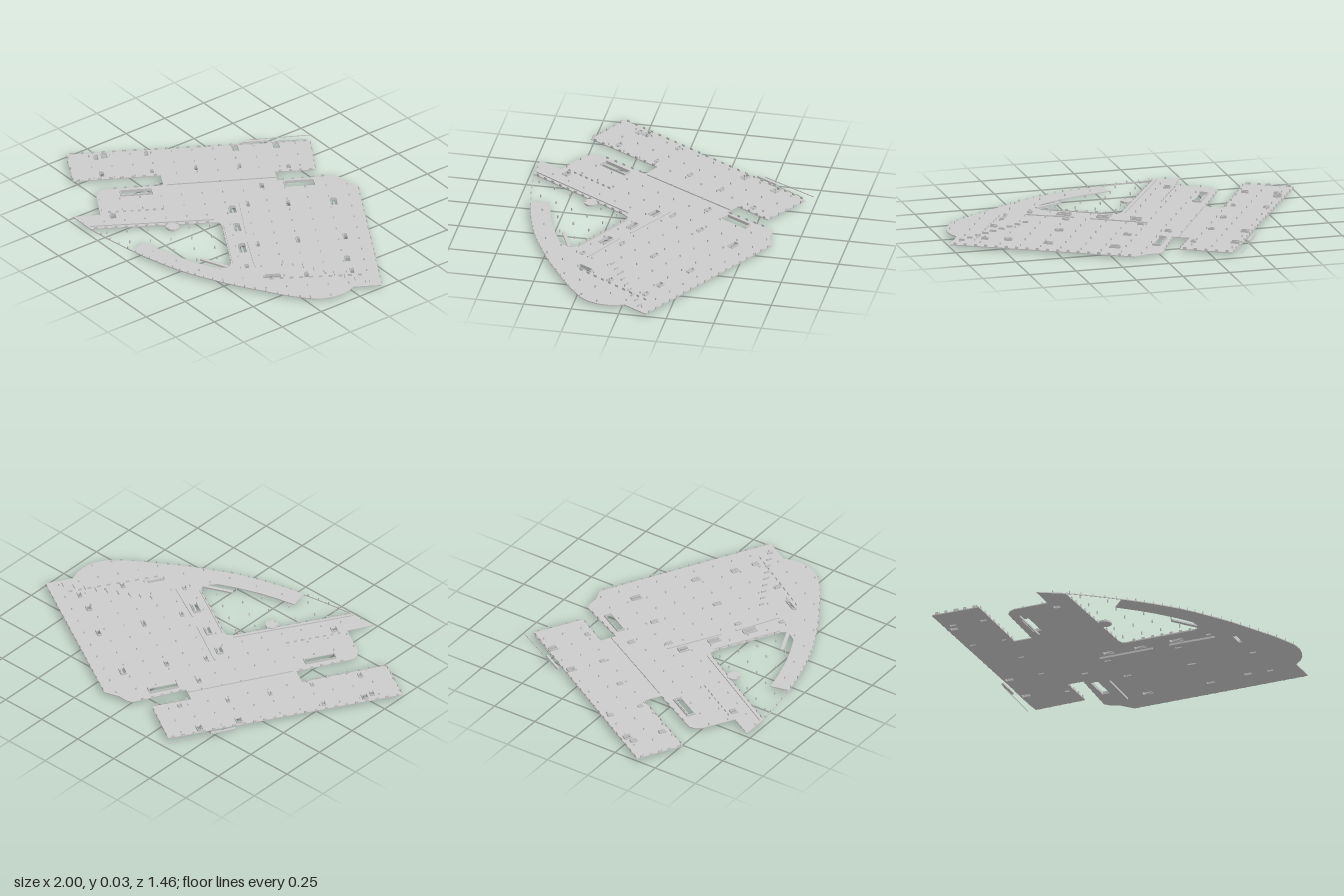
import * as THREE from 'three';

const material = new THREE.MeshStandardMaterial({ color: 0xcccccc, flatShading: true, side: THREE.DoubleSide });
const BASE = 0.011, TOP = 0.016, HIGH = 0.027;
const C = Math.cos(Math.PI / 6), S = 0.5; // building grid is turned 30 degrees

// Plate outline as [x, z], split at the curved facade
const ARC = [[0.898, 0.217], [0.79, 0.305], [0.663, 0.388], [0.54, 0.465], [0.406, 0.535], [0.3, 0.585], [0.19, 0.623], [0.07, 0.657], [-0.048, 0.682]];
const COURT = [[-0.07, 0.585], [0.04, 0.56], [0.14, 0.532], [0.25, 0.49], [0.342, 0.447], [0.368, 0.415], [0.383, 0.38], [0.363, 0.35],
  [0.043, 0.168], [0.01, 0.158], [-0.016, 0.184], [-0.342, 0.725]];
const OUTLINE = [
  [-0.353, -0.698], [-0.112, -0.553], [-0.22, -0.372], [-0.144, -0.329], [-0.025, -0.565], [-0.01, -0.593], [0.02, -0.605], [0.075, -0.602], [0.15, -0.628],
  [1, -0.142], [0.925, -0.013], [0.942, 0.035], [0.947, 0.083], [0.942, 0.125], [0.925, 0.175], ...ARC, ...COURT,
  [-0.492, 0.725], [-0.422, 0.602], [-0.583, 0.508], [-0.606, 0.475], [-0.61, 0.447], [-0.594, 0.414], [-0.46, 0.168], [-0.545, 0.12], [-0.77, 0.516], [-1, 0.388]];

// Stairwells: centre x, z, size along the grid's long and cross directions
const WELLS = [
  [-0.42, -0.53, 0.045, 0.03], [-0.525, -0.345, 0.045, 0.03], [0.2, -0.435, 0.055, 0.03], [-0.05, 0.03, 0.055, 0.035],
  [0.105, 0.115, 0.065, 0.03], [0.283, 0.217, 0.075, 0.035], [0.595, 0.26, 0.02, 0.085], [0.44, 0.307, 0.025, 0.018],
  [0.51, -0.275, 0.045, 0.02], [0.69, -0.152, 0.04, 0.025], [0.8, -0.1, 0.035, 0.018], [-0.87, 0.24, 0.04, 0.03],
  [-0.88, 0.285, 0.035, 0.02], [-0.37, 0.56, 0.035, 0.03], [0.39, -0.06, 0.045, 0.018], [0.69, 0.11, 0.035, 0.02],
  [0.075, -0.235, 0.04, 0.018], [-0.145, -0.23, 0.035, 0.02], [-0.73, 0.36, 0.035, 0.02], [-0.05, -0.4, 0.042, 0.155], [-0.48, 0.327, 0.045, 0.165],
  [-0.755, 0.055, 0.03, 0.015], [-0.6, 0.135, 0.025, 0.015], [-0.37, -0.255, 0.03, 0.015], [-0.49, -0.065, 0.03, 0.015],
  [0.3, 0.13, 0.035, 0.015], [-0.215, -0.455, 0.025, 0.02], [-0.045, -0.065, 0.035, 0.015]];

const onGrid = (cx, cz, u, v) => [cx + u * C - v * S, cz + u * S + v * C];
const corners = ([x, z, w, d]) => [[-1, -1], [1, -1], [1, 1], [-1, 1]].map(([a, b]) => onGrid(x, z, a * w / 2, b * d / 2));
const toVec = pts => pts.map(([x, z]) => new THREE.Vector2(x, -z));

function slab(name, pts, holes = [], y0 = BASE, y1 = TOP) {
  const shape = new THREE.Shape(toVec(pts));
  shape.holes = holes.map(h => new THREE.Path(toVec(h)));
  const geo = new THREE.ExtrudeGeometry(shape, { depth: y1 - y0, bevelEnabled: false });
  geo.rotateX(-Math.PI / 2).translate(0, y0, 0);
  const mesh = new THREE.Mesh(geo, material);
  mesh.name = name;
  return mesh;
}

function wall(name, [x0, z0], [x1, z1], width = 0.004, y0 = BASE, y1 = HIGH) {
  const mesh = new THREE.Mesh(new THREE.BoxGeometry(Math.hypot(x1 - x0, z1 - z0), y1 - y0, width), material);
  mesh.position.set((x0 + x1) / 2, (y0 + y1) / 2, (z0 + z1) / 2);
  mesh.rotation.y = -Math.atan2(z1 - z0, x1 - x0);
  mesh.name = name;
  return mesh;
}

function inside(x, z, poly) {
  let hit = false;
  poly.forEach(([ax, az], i) => {
    const [bx, bz] = poly[(i + 1) % poly.length];
    if ((az > z) !== (bz > z) && x < (bx - ax) * (z - az) / (bz - az) + ax) hit = !hit;
  });
  return hit;
}

// Row of short wall pieces from a to b
function dashes(group, name, a, b, step, fill, width) {
  const n = Math.max(1, Math.round(Math.hypot(b[0] - a[0], b[1] - a[1]) / step));
  const at = t => [a[0] + (b[0] - a[0]) * t, a[1] + (b[1] - a[1]) * t];
  for (let i = 0; i < n; i++) group.add(wall(name, at((i + 0.5 - fill / 2) / n), at((i + 0.5 + fill / 2) / n), width));
}

export function createModel() {
  const model = new THREE.Group();
  model.name = 'buildingFloor';
  const part = name => {
    const g = new THREE.Group();
    g.name = name;
    model.add(g);
    return g;
  };

  model.add(slab('floorPlate', OUTLINE, WELLS.map(corners)));

  // Columns on the turned grid, also standing in the open courtyard
  const columns = part('columns');
  const court = [...COURT, [-0.2, 0.708], [-0.048, 0.682]];
  const columnGeo = new THREE.BoxGeometry(0.006, HIGH - BASE, 0.006);
  for (let i = -10; i <= 10; i++) for (let j = -10; j <= 10; j++) {
    const [x, z] = onGrid(0.02, -0.02, i * 0.107, j * 0.107);
    if (!inside(x, z, OUTLINE) && !inside(x, z, court)) continue;
    const column = new THREE.Mesh(columnGeo, material);
    column.position.set(x, (BASE + HIGH) / 2, z);
    column.rotation.y = -Math.PI / 6;
    column.name = 'column';
    columns.add(column);
  }

  // Stair cores: side walls and a flight sloping down through each well
  const cores = part('stairCores');
  WELLS.forEach(well => {
    const [a, b, c, d] = corners(well);
    cores.add(wall('coreWall', a, b, 0.003), wall('coreWall', c, d, 0.003), wall('coreWall', d, a, 0.003));
    if (well[3] > 0.1 || well[2] < 0.05) return;
    const flight = new THREE.Mesh(new THREE.BoxGeometry(well[2], 0.002, 0.008), material);
    flight.position.set(well[0], 0.008, well[1]);
    flight.rotation.set(0, -Math.PI / 6, 0.012 / well[2]);
    flight.name = 'stairFlight';
    cores.add(flight);
  });

  // Facade pieces along the plate edges
  const facade = part('facade');
  OUTLINE.forEach((p, i) => {
    const q = OUTLINE[(i + 1) % OUTLINE.length];
    if (Math.hypot(q[0] - p[0], q[1] - p[1]) > 0.2) dashes(facade, 'facadePiece', p, q, 0.054, 0.3, 0.004);
  });
  // Short cross walls near the east end
  for (let k = 0; k < 9; k++) {
    const p = onGrid(0.96, -0.13, -k * 0.03, 0.05 + k * 0.05);
    if (inside(p[0], p[1], OUTLINE)) facade.add(wall('crossWall', p, onGrid(...p, -0.03, 0)));
  }

  // Inner partitions
  const partitions = part('partitions');
  [[[-0.09, -0.045], [0.175, 0.11], 0.008], [[0.245, 0.155], [0.47, 0.275], 0.008], [[-0.45, 0.155], [-0.17, -0.34], 0.003],
    [[-0.03, 0.165], [-0.36, 0.715], 0.003], [[0.04, 0.155], [0.37, 0.345], 0.003]]
    .forEach(([a, b, w]) => partitions.add(wall('partition', a, b, w, BASE, 0.022)));
  dashes(partitions, 'partition', [-0.26, 0.3], [-0.42, 0.57], 0.04, 0.4, 0.003);
  dashes(partitions, 'partition', [0.87, -0.13], [0.6, 0.3], 0.05, 0.4, 0.003);

  // Thin curved rail that closes the courtyard
  const rail = part('curvedRail');
  const edge = new THREE.SplineCurve([...ARC, [-0.2, 0.708], [-0.342, 0.725]].map(p => new THREE.Vector2(...p))).getPoints(50);
  for (let i = 0; i < 50; i++) {
    rail.add(wall('railSegment', edge[i].toArray(), edge[i + 1].toArray(), 0.003, BASE, TOP));
    if (i % 2) rail.add(wall('railPost', edge[i].toArray(), [edge[i].x + 0.005, edge[i].y], 0.004));
  }

  // Round pod with its link, and the narrow bridge in the courtyard
  const pod = new THREE.Mesh(new THREE.CylinderGeometry(0.034, 0.034, 0.01, 24), material);
  pod.position.set(-0.102, 0.016, 0.377);
  pod.name = 'roundPod';
  model.add(pod, wall('podLink', [-0.102, 0.377], [-0.125, 0.335], 0.03, BASE, TOP));
  model.add(wall('bridge', [0.235, 0.45], [0.383, 0.387], 0.018, BASE, 0.02));

  // Light rails outside the west corner
  const outer = part('outerRails');
  outer.add(wall('outerRail', [-0.39, -0.735], [-0.545, -0.45], 0.002, 0.018, 0.022));
  outer.add(wall('outerRail', [-0.375, -0.68], [-0.475, -0.51], 0.002, 0.018, 0.022));
  outer.add(wall('outerStrip', [-0.49, -0.52], [-0.555, -0.405], 0.012, BASE, 0.02));

  // Shallow beams below the plate
  const beams = part('underBeams');
  [[[-0.09, -0.03], [0.17, 0.12]], [[0.25, 0.17], [0.47, 0.29]], [[-0.55, 0.44], [-0.43, 0.23]], [[-0.01, -0.3], [0.1, -0.5]]]
    .forEach(([a, b]) => beams.add(wall('underBeam', a, b, 0.006, 0, BASE)));
  return model;
}
